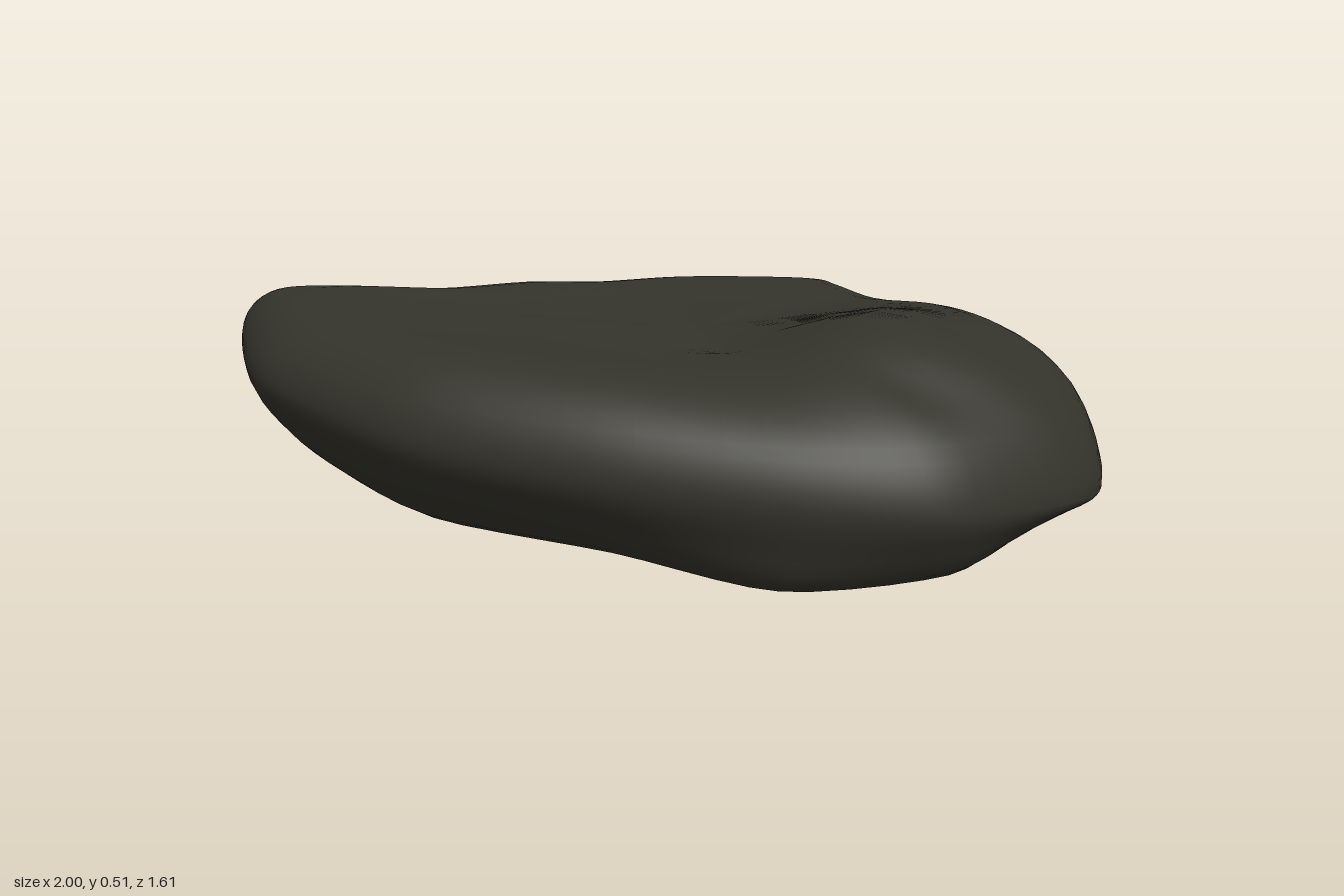
import * as THREE from 'three';
import { mergeVertices } from 'three/addons/utils/BufferGeometryUtils.js';

// Matching stations [x, y, z] around the slab, starting at the back tip
const rim = [
  [.2, .28, -.81], [.3, .3, -.76], [.45, .33, -.62], [.72, .27, -.34], [.94, .2, -.11], [1, .14, .18], [.94, .15, .38],
  [.73, .17, .63], [.45, .2, .74], [.02, .24, .8], [-.42, .29, .775], [-.8, .35, .58], [-.95, .41, .36],
  [-1, .45, .18], [-.92, .4, 0], [-.7, .34, -.11], [-.54, .31, -.33], [-.37, .3, -.44], [-.18, .3, -.68],
];
const shoulder = [
  [.18, .44, -.71], [.26, .43, -.68], [.38, .42, -.55], [.6, .44, -.32], [.76, .43, -.08], [.79, .41, .15], [.74, .42, .32],
  [.57, .41, .48], [.36, .4, .58], [0, .43, .66], [-.36, .455, .66], [-.7, .48, .5], [-.85, .505, .3],
  [-.92, .51, .17], [-.82, .5, .05], [-.62, .485, -.05], [-.46, .475, -.26], [-.3, .465, -.37], [-.13, .45, -.6],
];
const underside = [
  [.15, .175, -.7], [.26, .2, -.68], [.44, .27, -.59], [.66, .2, -.33], [.84, .13, -.05], [.88, .1, .2], [.83, .08, .38],
  [.71, .02, .53], [.38, .005, .68], [.02, .06, .67], [-.4, .09, .6], [-.66, .15, .45], [-.78, .205, .32],
  [-.79, .22, .17], [-.68, .195, .05], [-.54, .165, -.05], [-.42, .15, -.25], [-.28, .15, -.36], [-.08, .16, -.6],
];

const closedCurve = (pts) => new THREE.CatmullRomCurve3(pts.map((p) => new THREE.Vector3(...p)), true, 'catmullrom', 0.4);
const bump = (p, x, z, sx, sz, h) => h * Math.exp(-(((p.x - x) / sx) ** 2) - ((p.z - z) / sz) ** 2);

function slabGeometry(around = 95, down = 32) {
  const curves = [shoulder, rim, underside].map(closedCurve);
  const topCentre = new THREE.Vector3(.05, .435, .08);
  const baseCentre = new THREE.Vector3(.1, .12, -.05);
  const positions = [], index = [];
  for (let j = 0; j < around; j++) {
    const [s, r, b] = curves.map((c) => c.getPoint(j / around));
    // Profile from the middle of the top, over the rim, to the middle of the base
    const inner = topCentre.clone().lerp(s, 0.6);
    inner.y = THREE.MathUtils.lerp(topCentre.y, s.y, 0.45);
    const upper = s.clone().lerp(r, 0.55);
    upper.x += (r.x - s.x) * 0.2;
    upper.z += (r.z - s.z) * 0.2;
    upper.y += (s.y - r.y) * 0.12;
    const lower = r.clone().lerp(b, 0.5);
    lower.x += (r.x - b.x) * 0.2;
    lower.z += (r.z - b.z) * 0.2;
    const base = baseCentre.clone().lerp(b, 0.6);
    const profile = new THREE.CatmullRomCurve3([topCentre, inner, s, upper, r, lower, b, base, baseCentre]);
    for (let i = 0; i <= down; i++) {
      const p = profile.getPoint(i / down);
      // Raised ridge and shallow dents, fading out over the rim
      const fade = 1 - THREE.MathUtils.smoothstep(i / down, 0.25, 0.48);
      p.y += fade * (bump(p, .5, .18, .2, .3, .085) + bump(p, .13, .22, .1, .08, -.015) + bump(p, .62, .48, .12, .07, -.02));
      positions.push(p.x, Math.max(p.y, 0), p.z);
    }
  }
  // Join neighbouring profiles, with single triangles at both centres
  const row = down + 1;
  for (let j = 0; j < around; j++) {
    for (let i = 0; i < down; i++) {
      const a = j * row + i, n = ((j + 1) % around) * row + i;
      if (i > 0) index.push(a, n, a + 1);
      if (i < down - 1) index.push(n, n + 1, a + 1);
    }
  }
  const geometry = new THREE.BufferGeometry();
  geometry.setAttribute('position', new THREE.Float32BufferAttribute(positions, 3));
  geometry.setIndex(index);
  const merged = mergeVertices(geometry, 1e-5);
  merged.computeVertexNormals();
  return merged;
}

export function createModel() {
  const group = new THREE.Group();
  group.name = 'rock';
  const stone = new THREE.MeshStandardMaterial({ color: 0x34332b });
  stone.name = 'dark stone';
  const slab = new THREE.Mesh(slabGeometry(), stone);
  slab.name = 'stoneSlab';
  group.add(slab);
  return group;
}
